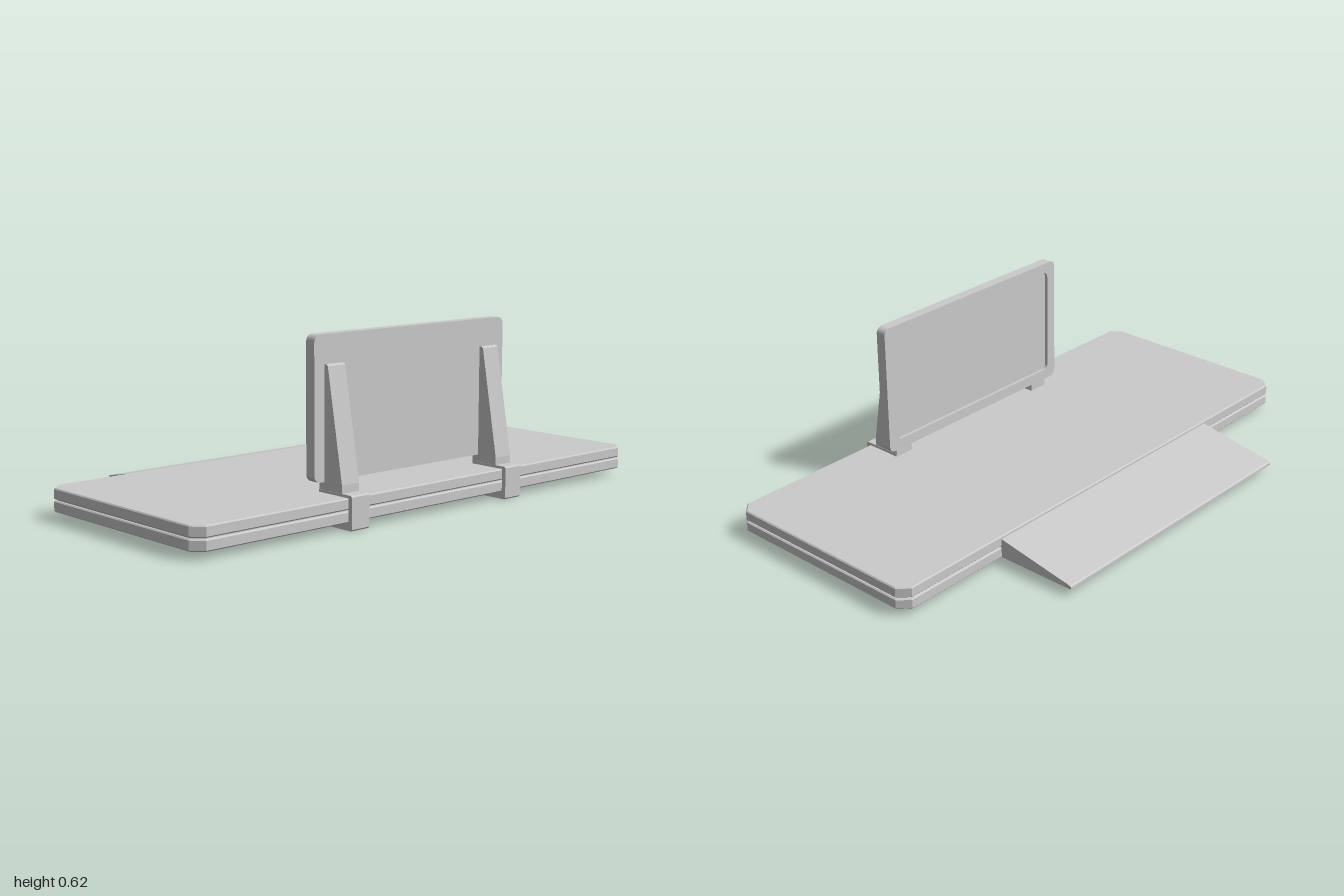
import * as THREE from 'three';

const material = new THREE.MeshStandardMaterial({ color: 0xcccccc, flatShading: true });

function addMesh(parent, name, geometry) {
  const mesh = new THREE.Mesh(geometry, material);
  mesh.name = name;
  parent.add(mesh);
  return mesh;
}

function polygon(points) {
  return new THREE.Shape(points.map(([x, y]) => new THREE.Vector2(x, y)));
}

// Extrudes a side profile given as [z, y] across a width centred on x
function sideProfile(points, width, x = 0) {
  const geometry = new THREE.ExtrudeGeometry(polygon(points.map(([z, y]) => [-z, y])), {
    depth: width, bevelEnabled: false,
  });
  geometry.translate(0, 0, -width / 2);
  geometry.rotateY(Math.PI / 2);
  geometry.translate(x, 0, 0);
  return geometry;
}

function roundedRect(target, w, h, r) {
  const x = w / 2, y = h / 2;
  target.moveTo(-x + r, -y);
  target.lineTo(x - r, -y);
  target.absarc(x - r, -y + r, r, -Math.PI / 2, 0);
  target.lineTo(x, y - r);
  target.absarc(x - r, y - r, r, 0, Math.PI / 2);
  target.lineTo(-x + r, y);
  target.absarc(-x + r, y - r, r, Math.PI / 2, Math.PI);
  target.lineTo(-x, -y + r);
  target.absarc(-x + r, -y + r, r, Math.PI, Math.PI * 1.5);
  return target;
}

// Rectangular slab with cut corners and a small edge bevel, lying flat
function slab(y0, y1, inset, bevel) {
  const x = 1 - inset - bevel, z = 0.398 - inset - bevel, c = 0.035;
  const shape = polygon([
    [-x + c, -z], [x - c, -z], [x, -z + c], [x, z - c],
    [x - c, z], [-x + c, z], [-x, z - c], [-x, -z + c],
  ]);
  const geometry = new THREE.ExtrudeGeometry(shape, {
    depth: y1 - y0 - 2 * bevel, bevelEnabled: bevel > 0,
    bevelThickness: bevel, bevelSize: bevel, bevelSegments: 1,
  });
  geometry.rotateX(-Math.PI / 2);
  geometry.translate(0, y0 + bevel, 0.143);
  return geometry;
}

export function createModel() {
  const model = new THREE.Group();
  model.name = 'deskWithScreen';

  // Two-layer top with a shadow groove between the layers
  const top = new THREE.Group();
  top.name = 'deskTop';
  model.add(top);
  addMesh(top, 'lowerSlab', slab(0.025, 0.063, 0, 0.004));
  addMesh(top, 'grooveCore', slab(0.06, 0.07, 0.01, 0));
  addMesh(top, 'upperSlab', slab(0.067, 0.105, 0, 0.004));

  // Tapered ledge at the back
  addMesh(model, 'rearWedge', sideProfile([
    [-0.25, 0.026], [-0.25, 0.095], [-0.55, 0.039], [-0.556, 0.035], [-0.556, 0.026],
  ], 1.11));

  // Screen: solid front plate plus a raised rim around the recessed back
  const screen = new THREE.Group();
  screen.name = 'screen';
  screen.position.set(0, 0.378, 0);
  model.add(screen);
  const plate = addMesh(screen, 'screenPlate', new THREE.ExtrudeGeometry(
    roundedRect(new THREE.Shape(), 0.88, 0.476, 0.025),
    { depth: 0.027, bevelEnabled: false, curveSegments: 5 }));
  plate.position.z = 0.4;
  const rimShape = roundedRect(new THREE.Shape(), 0.88, 0.476, 0.025);
  rimShape.holes.push(roundedRect(new THREE.Path(), 0.8, 0.4, 0.02));
  const rim = addMesh(screen, 'screenRim', new THREE.ExtrudeGeometry(rimShape,
    { depth: 0.012, bevelEnabled: false, curveSegments: 5 }));
  rim.position.z = 0.388;

  // Clamp and tapered upright on each side
  for (const side of [-1, 1]) {
    const bracket = new THREE.Group();
    bracket.name = side > 0 ? 'leftBracket' : 'rightBracket';
    model.add(bracket);
    const x = side * 0.36;
    addMesh(bracket, 'clamp', sideProfile([
      [0.402, 0], [0.552, 0], [0.557, 0.005], [0.557, 0.109], [0.552, 0.114],
      [0.402, 0.114], [0.402, 0.104], [0.541, 0.104], [0.541, 0.025], [0.402, 0.025],
    ], 0.076, x));
    addMesh(bracket, 'upright', sideProfile([
      [0.402, 0.108], [0.51, 0.108], [0.51, 0.14], [0.443, 0.515], [0.437, 0.52],
      [0.426, 0.52], [0.426, 0.14], [0.402, 0.14],
    ], 0.074, x));
  }

  return model;
}
